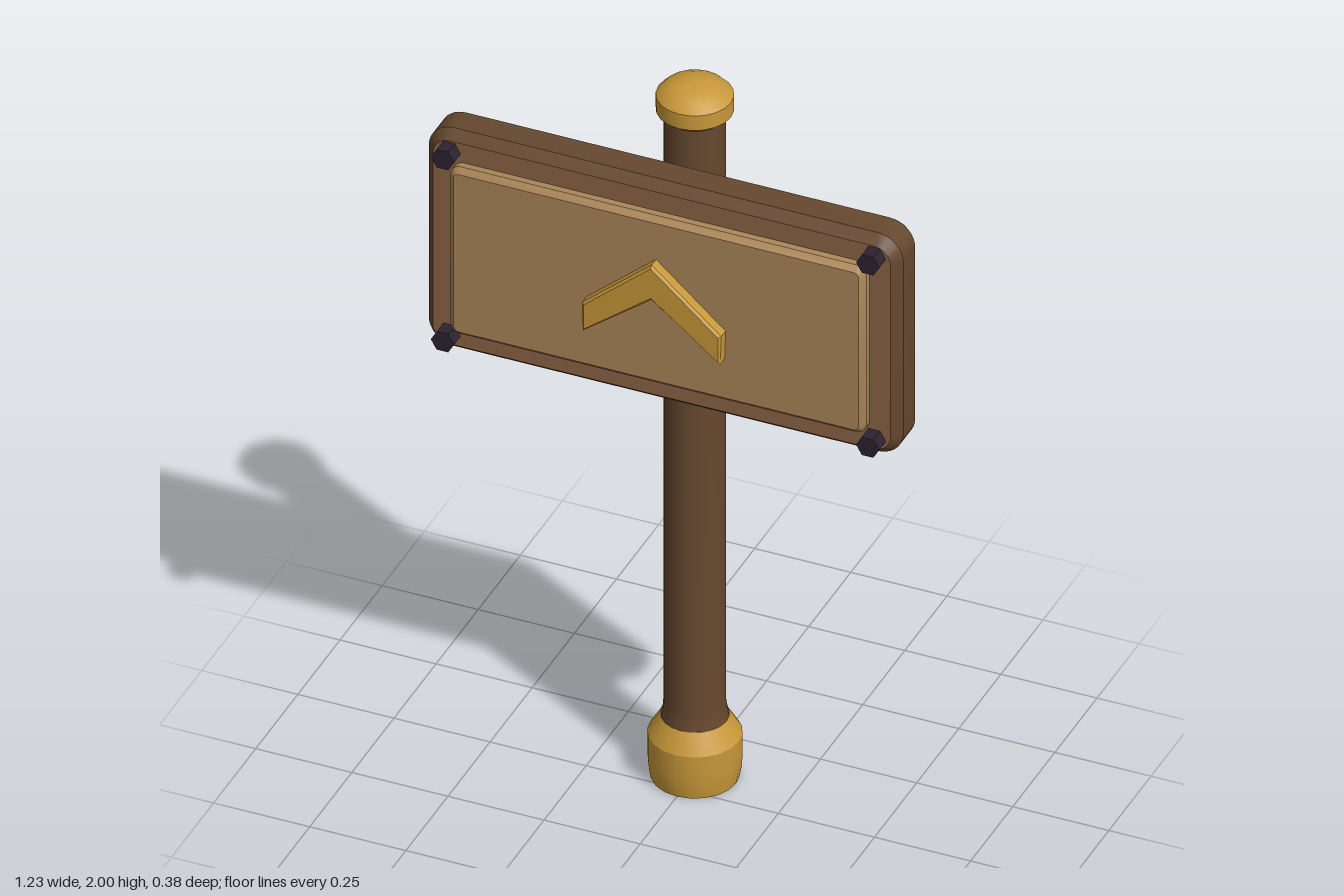
import * as THREE from 'three';
import { toCreasedNormals } from 'three/addons/utils/BufferGeometryUtils.js';

const material = (name, color) => {
  const m = new THREE.MeshStandardMaterial({ color });
  m.name = name;
  return m;
};

// Rectangle with rounded corners, centred on the origin
function roundedRect(w, h, r) {
  const s = new THREE.Shape();
  const x = w / 2, y = h / 2;
  s.moveTo(-x + r, -y);
  s.lineTo(x - r, -y);
  s.absarc(x - r, -y + r, r, -Math.PI / 2, 0);
  s.lineTo(x, y - r);
  s.absarc(x - r, y - r, r, 0, Math.PI / 2);
  s.lineTo(-x + r, y);
  s.absarc(-x + r, y - r, r, Math.PI / 2, Math.PI);
  s.lineTo(-x, -y + r);
  s.absarc(-x + r, -y + r, r, Math.PI, Math.PI * 1.5);
  return s;
}

// Bevelled slab from z = 0 to z = depth, grown outwards by the bevel
function slab(shape, depth, bevel, thickness = bevel) {
  const g = new THREE.ExtrudeGeometry(shape, {
    depth: depth - 2 * thickness, bevelSize: bevel, bevelThickness: thickness,
    bevelSegments: 1, curveSegments: 5,
  });
  g.translate(0, 0, thickness);
  return g;
}

export function createModel() {
  const model = new THREE.Group();
  model.name = 'signpost';

  const darkWood = material('dark wood', 0x66482f);
  const frameWood = material('frame wood', 0x8c6344);
  const panelWood = material('panel wood', 0xac8759);
  const gold = material('gold', 0xc8983a);
  const iron = material('dark iron', 0x2c2230);

  const add = (name, geometry, mat, x = 0, y = 0, z = 0) => {
    const mesh = new THREE.Mesh(geometry, mat);
    mesh.name = name;
    mesh.position.set(x, y, z);
    model.add(mesh);
    return mesh;
  };
  const creased = (g) => toCreasedNormals(g, 0.5);
  const lathe = (points) => creased(new THREE.LatheGeometry(
    points.map(([r, y]) => new THREE.Vector2(r, y)), 20));

  // Post with its metal foot and domed cap
  const postZ = -0.075;
  add('post', lathe([[0.083, 0.17], [0.077, 0.195], [0.075, 0.22], [0.075, 1.92]]),
    darkWood, 0, 0, postZ);
  add('foot', lathe([[0, 0], [0.107, 0], [0.112, 0.03], [0.114, 0.06], [0.114, 0.123],
    [0.083, 0.174], [0, 0.174]]), gold, 0, 0, postZ);
  add('cap', lathe([[0, 1.905], [0.076, 1.905], [0.094, 1.92], [0.094, 1.962],
    [0.077, 1.98], [0.054, 1.991], [0.028, 1.998], [0, 2]]), gold, 0, 0, postZ);

  // Board: lighter faces, dark bevelled rim
  const boardY = 1.505;
  add('board', creased(slab(roundedRect(1.19, 0.586, 0.045), 0.122, 0.022, 0.026)),
    [frameWood, darkWood], 0, boardY);

  // Raised panel
  add('panel', creased(slab(roundedRect(1.054, 0.454, 0.014), 0.046, 0.014)),
    panelWood, 0, boardY, 0.11);

  // Upward chevron
  const chevron = new THREE.Shape([
    [0, 1.621], [-0.175, 1.469], [-0.175, 1.399], [0, 1.536], [0.175, 1.399], [0.175, 1.469],
  ].map(([x, y]) => new THREE.Vector2(x, y)));
  add('chevron', creased(slab(chevron, 0.04, 0.006)), gold, 0, 0, 0.148);

  // Hexagonal corner bolts
  const bolt = new THREE.CylinderGeometry(0.03, 0.03, 0.05, 6);
  bolt.rotateY(Math.PI / 6);
  bolt.rotateX(Math.PI / 2);
  const boltGeometry = creased(bolt);
  for (const sx of [-1, 1]) {
    for (const sy of [-1, 1]) {
      add('bolt', boltGeometry, iron, sx * 0.553, boardY + sy * 0.263, 0.137);
    }
  }
  return model;
}
